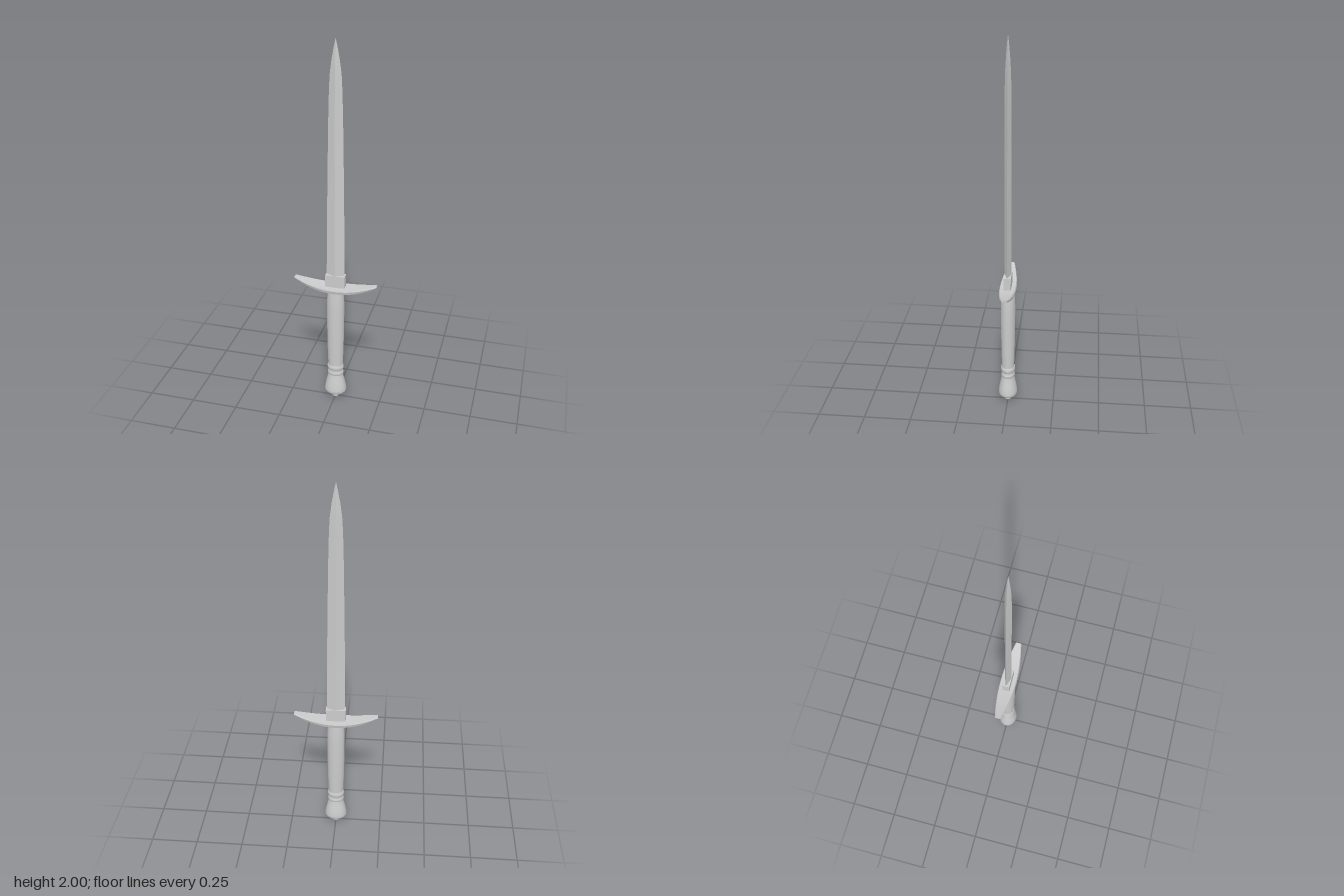
import * as THREE from 'three';
import { toCreasedNormals } from 'three/addons/utils/BufferGeometryUtils.js';

const material = new THREE.MeshStandardMaterial({ color: 0xcccccc });

// Skins equal-sized rings of [x, y, z] points and caps both ends
function loft(rings, crease) {
  const n = rings[0].length, index = [];
  for (let r = 0; r < rings.length - 1; r++) {
    for (let i = 0; i < n; i++) {
      const a = r * n + i, b = r * n + (i + 1) % n;
      index.push(a, b, b + n, a, b + n, a + n);
    }
  }
  const last = (rings.length - 1) * n;
  for (let i = 1; i < n - 1; i++) {
    index.push(0, i + 1, i, last, last + i, last + i + 1);
  }
  const geo = new THREE.BufferGeometry();
  geo.setAttribute('position', new THREE.Float32BufferAttribute(rings.flat(2), 3));
  geo.setIndex(index);
  return toCreasedNormals(geo, crease);
}

// Turned part with an oval cross-section
function turned(profile, depth, crease = 0.6) {
  const geo = new THREE.LatheGeometry(profile.map(([r, y]) => new THREE.Vector2(r, y)), 20);
  geo.scale(1, 1, depth);
  return toCreasedNormals(geo, crease);
}

export function createModel() {
  const group = new THREE.Group();
  const add = (name, geometry) => {
    const mesh = new THREE.Mesh(geometry, material);
    mesh.name = name;
    group.add(mesh);
    return mesh;
  };

  // Blade: diamond section [y, half width, half thickness]
  const stations = [
    [0.69, 0.049, 0.018], [1.0, 0.046, 0.018], [1.3, 0.042, 0.017], [1.6, 0.037, 0.017],
    [1.75, 0.033, 0.016], [1.83, 0.029, 0.014], [1.9, 0.02, 0.010], [1.96, 0.009, 0.005], [2.0, 0.0005, 0.0005],
  ];
  add('blade', loft(stations.map(([y, w, t]) => [[w, y, 0], [0, y, -t], [-w, y, 0], [0, y, t]]), 0.15));

  // Collar holding the base of the blade
  add('bladeCollar', new THREE.BoxGeometry(0.104, 0.085, 0.038)).position.set(0, 0.725, 0);

  // Crossguard: upswept, tapering to both ends, with bevelled upper edges
  const guard = [];
  for (let i = 0; i <= 20; i++) {
    const u = i / 10 - 1, q = u * u;
    const x = 0.22 * u;
    const bottom = 0.672 + 0.049 * q, top = 0.699 + 0.034 * q;
    const d = 0.044 - 0.029 * q, bevel = 0.004;
    const mid = bottom + (top - bottom) * 0.6;
    guard.push([[x, bottom, d - bevel], [x, bottom, -d + bevel], [x, mid, -d],
      [x, top, -d + bevel], [x, top, d - bevel], [x, mid, d]]);
  }
  add('crossguard', loft(guard, 0.4));

  // Grip, slightly swollen along its length
  add('grip', turned([
    [0, 0.2], [0.040, 0.2], [0.041, 0.23], [0.044, 0.32], [0.046, 0.45],
    [0.047, 0.56], [0.046, 0.62], [0.042, 0.66], [0.041, 0.685], [0, 0.685],
  ], 0.82));

  // Rings between grip and pommel
  add('gripRings', turned([
    [0, 0.15], [0.040, 0.15], [0.044, 0.158], [0.044, 0.166], [0.040, 0.173],
    [0.040, 0.185], [0.045, 0.192], [0.045, 0.205], [0.041, 0.213], [0, 0.213],
  ], 0.85));

  // Flared pommel
  add('pommel', turned([
    [0, 0.026], [0.035, 0.027], [0.053, 0.034], [0.060, 0.045], [0.060, 0.056],
    [0.055, 0.085], [0.047, 0.12], [0.042, 0.14], [0.040, 0.155], [0, 0.155],
  ], 0.85));

  // Button at the very end
  add('pommelButton', turned([
    [0, 0], [0.015, 0], [0.018, 0.004], [0.018, 0.03], [0, 0.03],
  ], 1));

  return group;
}
